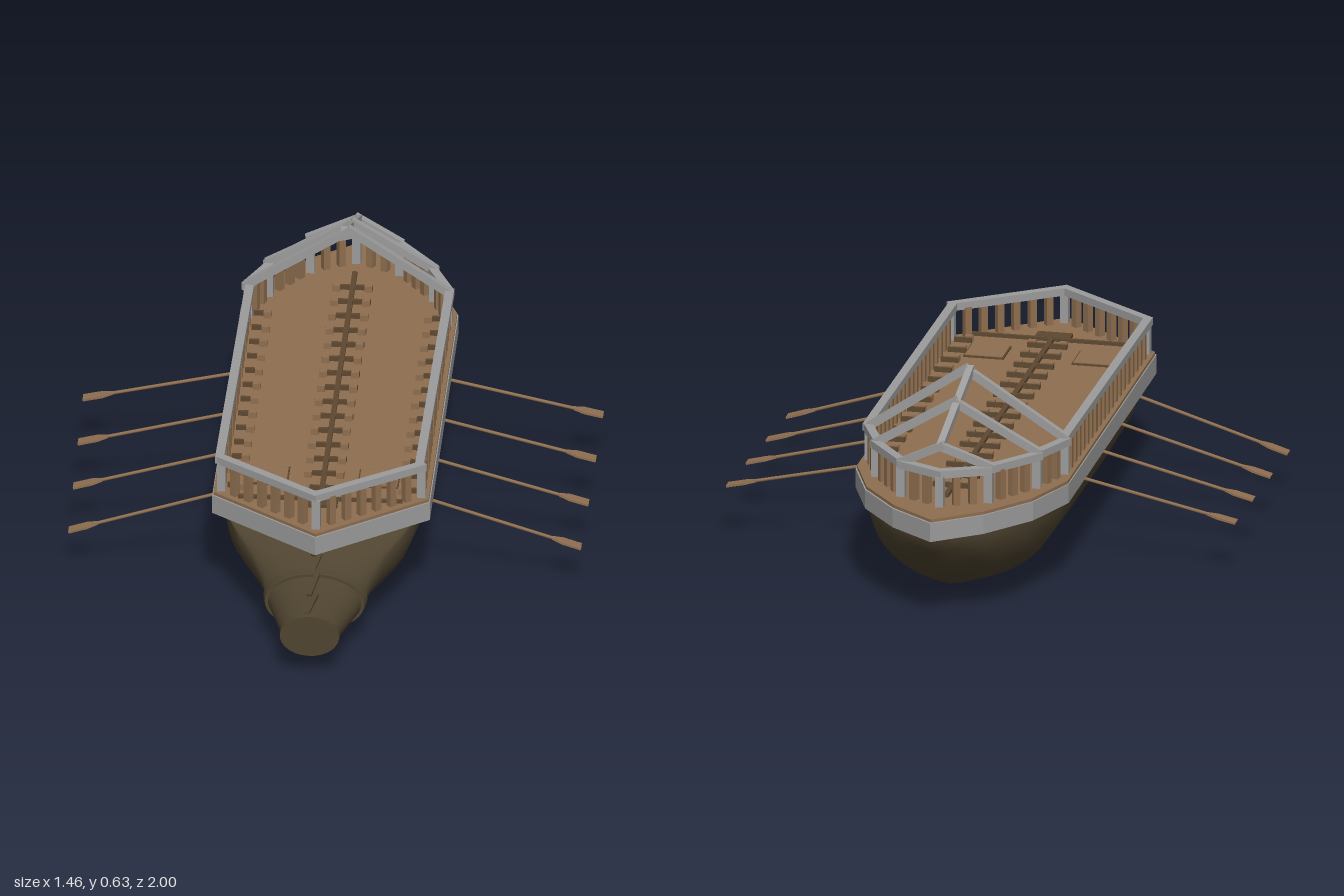
import * as THREE from 'three';
import { toCreasedNormals } from 'three/addons/utils/BufferGeometryUtils.js';

const paint = (name, color) => Object.assign(new THREE.MeshStandardMaterial({ color }), { name });
const hullWood = paint('dark hull wood', 0x4f4430);
const deckWood = paint('deck wood', 0x8f6f50);
const fittingWood = paint('fitting wood', 0x5e4931);
const metal = paint('grey trim', 0x9c9c9c);

// Half outlines [x, z] from stern tip to bow tip
const deckHalf = [[0, -1], [0.13, -0.9], [0.24, -0.76], [0.305, -0.59], [0.305, 0.54], [0, 0.775]];
const railHalf = [[0, -0.875], [0.125, -0.81], [0.23, -0.66], [0.28, -0.525], [0.28, 0.52], [0, 0.73]];
const mirrored = half => [...half, ...half.slice(1, -1).reverse().map(([x, z]) => [-x, z])];

function add(parent, name, geometry, material, x = 0, y = 0, z = 0) {
  const mesh = new THREE.Mesh(geometry, material);
  mesh.name = name;
  mesh.position.set(x, y, z);
  parent.add(mesh);
  return mesh;
}

function addGroup(parent, name) {
  const group = new THREE.Group();
  group.name = name;
  parent.add(group);
  return group;
}

// Flat slab with the given plan outline
function slab(half, height) {
  const shape = new THREE.Shape(mirrored(half).map(([x, z]) => new THREE.Vector2(x, -z)));
  return new THREE.ExtrudeGeometry(shape, { depth: height, bevelEnabled: false }).rotateX(-Math.PI / 2);
}

// Square beam between two points
function beam(parent, name, a, b, w, h, material) {
  const from = new THREE.Vector3(...a), to = new THREE.Vector3(...b);
  const mesh = add(parent, name, new THREE.BoxGeometry(w, h, from.distanceTo(to) + w * 0.5), material);
  mesh.position.copy(from).add(to).multiplyScalar(0.5);
  mesh.lookAt(to);
  return mesh;
}

// Loft of closed sections [z, halfWidth, bottom, top, roundness]: 0 is an open hull, 1 an ellipse
function loft(sections, n = 40) {
  const pos = [], index = [];
  for (const [z, w, bottom, top, k] of sections) {
    for (let j = 0; j < n; j++) {
      const a = (j / n) * Math.PI * 2, c = Math.cos(a), s = Math.sin(a), x = Math.abs(c);
      const open = s >= 0 ? 1 : 1 + s + 0.12 * x * (1 - x);
      const v = open * (1 - k) + (0.5 + 0.5 * s) * k;
      pos.push(w * c, bottom + (top - bottom) * v, z);
    }
  }
  for (let i = 0; i < sections.length - 1; i++) {
    for (let j = 0; j < n; j++) {
      const a = i * n + j, b = i * n + (j + 1) % n;
      index.push(a, b, b + n, a, b + n, a + n);
    }
  }
  // End caps
  const last = (sections.length - 1) * n;
  for (let j = 1; j < n - 1; j++) {
    index.push(0, j + 1, j, last, last + j, last + j + 1);
  }
  const g = new THREE.BufferGeometry();
  g.setAttribute('position', new THREE.Float32BufferAttribute(pos, 3));
  g.setIndex(index);
  return toCreasedNormals(g, 0.7);
}

export function createModel() {
  const model = new THREE.Group();
  model.name = 'galley';
  model.rotation.y = 0.01;

  // Hull and ram
  add(model, 'hull', loft([
    [-0.945, 0.03, 0.25, 0.275, 0], [-0.91, 0.105, 0.2, 0.275, 0], [-0.85, 0.165, 0.13, 0.275, 0],
    [-0.75, 0.228, 0.055, 0.275, 0], [-0.59, 0.28, 0.01, 0.275, 0], [-0.3, 0.284, 0.003, 0.275, 0],
    [0.1, 0.284, 0, 0.275, 0], [0.45, 0.28, 0.003, 0.275, 0], [0.56, 0.262, 0.01, 0.275, 0.05],
    [0.62, 0.225, 0.017, 0.268, 0.25], [0.67, 0.185, 0.024, 0.255, 0.5], [0.72, 0.153, 0.031, 0.232, 0.8],
    [0.78, 0.135, 0.04, 0.207, 1], [0.88, 0.105, 0.052, 0.188, 1], [0.99, 0.075, 0.065, 0.18, 1],
  ]), hullWood);
  add(model, 'ramBaseCollar', loft([
    [0.765, 0.146, 0.033, 0.217, 1], [0.795, 0.14, 0.036, 0.212, 1]]), hullWood);
  add(model, 'ramTipCollar', loft([
    [0.98, 0.085, 0.06, 0.187, 1], [1, 0.083, 0.062, 0.185, 1]]), hullWood);
  const ridge = [[0.62, 0.268], [0.67, 0.255], [0.72, 0.232], [0.78, 0.209], [0.88, 0.19], [0.98, 0.183]];
  for (let i = 0; i < ridge.length - 1; i++) {
    const [z0, y0] = ridge[i], [z1, y1] = ridge[i + 1];
    beam(model, 'ramRidge', [0, y0, z0], [0, y1, z1], 0.014, 0.012, hullWood);
  }

  // Gunwale band and deck
  add(model, 'gunwaleBand', slab(deckHalf, 0.055), metal, 0, 0.262, 0);
  const deckEdge = deckHalf.map(([x, z]) => [x * 0.99, z * 0.992]);
  add(model, 'deck', slab(deckEdge, 0.01), deckWood, 0, 0.316, 0);
  const deckY = 0.326;

  // Railing: top rail, corner posts and balusters
  const railing = addGroup(model, 'railing');
  const loop = mirrored(railHalf);
  const baluster = new THREE.BoxGeometry(0.02, 0.09, 0.02);
  const cornerPost = new THREE.BoxGeometry(0.024, 0.09, 0.024);
  loop.forEach(([x0, z0], i) => {
    const [x1, z1] = loop[(i + 1) % loop.length];
    beam(railing, 'topRail', [x0, 0.421, z0], [x1, 0.421, z1], 0.025, 0.022, metal);
    add(railing, 'cornerPost', cornerPost, metal, x0, deckY + 0.044, z0);
    const count = Math.max(2, Math.round(Math.hypot(x1 - x0, z1 - z0) / 0.051));
    for (let j = 1; j < count; j++) {
      const t = j / count;
      const post = add(railing, 'baluster', baluster, deckWood,
        x0 + (x1 - x0) * t, deckY + 0.044, z0 + (z1 - z0) * t);
      post.rotation.y = Math.atan2(x1 - x0, z1 - z0);
    }
  });

  // Stern canopy frame: three gables and a ridge beam
  const canopy = addGroup(model, 'canopyFrame');
  const gables = [[0.28, -0.525, 0.612, -0.52], [0.232, -0.66, 0.562, -0.66], [0.13, -0.81, 0.487, -0.828]];
  for (const [w, z, peak, peakZ] of gables) {
    for (const side of [-1, 1]) {
      beam(canopy, 'rafter', [side * w, 0.428, z], [0, peak, peakZ], 0.02, 0.022, metal);
    }
  }
  beam(canopy, 'ridgeBeam', [0, 0.612, -0.52], [0, 0.487, -0.828], 0.02, 0.022, metal);

  // Deck fittings: centre plank, rowing brackets, hatches and bow step
  const fittings = addGroup(model, 'deckFittings');
  add(fittings, 'centrePlank', new THREE.BoxGeometry(0.014, 0.012, 1.36), fittingWood, 0, deckY + 0.004, -0.12);
  add(fittings, 'bowBeam', new THREE.BoxGeometry(0.46, 0.012, 0.01), fittingWood, 0, deckY + 0.004, 0.565);
  add(fittings, 'bowStep', new THREE.BoxGeometry(0.1, 0.012, 0.04), fittingWood, 0, deckY + 0.004, 0.592);
  const bracket = new THREE.BoxGeometry(0.05, 0.016, 0.008);
  const seat = new THREE.BoxGeometry(0.022, 0.02, 0.016);
  for (let i = 0; i < 15; i++) {
    const z = -0.71 + i * 0.0865;
    for (const side of [-1, 1]) {
      add(fittings, 'innerBracket', bracket, fittingWood, side * 0.032, deckY + 0.006, z);
      add(fittings, 'innerSeat', seat, deckWood, side * 0.045, deckY + 0.008, z + 0.01);
      if (z < -0.56) continue;
      add(fittings, 'outerBracket', bracket, fittingWood, side * 0.24, deckY + 0.006, z);
      add(fittings, 'outerSeat', seat, deckWood, side * 0.225, deckY + 0.008, z + 0.01);
    }
  }
  for (const side of [-1, 1]) {
    add(fittings, 'hatchFrame', new THREE.BoxGeometry(0.115, 0.006, 0.105), fittingWood, side * 0.155, deckY + 0.002, 0.43);
    add(fittings, 'hatchLid', new THREE.BoxGeometry(0.107, 0.008, 0.097), deckWood, side * 0.155, deckY + 0.003, 0.43);
  }

  // Oars: four on each side
  const bladeShape = new THREE.Shape([[0, -0.006], [0.03, -0.017], [0.085, -0.017], [0.085, 0.017],
    [0.03, 0.017], [0, 0.006]].map(p => new THREE.Vector2(...p)));
  const blade = new THREE.ExtrudeGeometry(bladeShape, { depth: 0.006, bevelEnabled: false })
    .translate(0, 0, -0.003).rotateX(-Math.PI / 2);
  const length = 0.4;
  const shaft = new THREE.CylinderGeometry(0.005, 0.005, length, 8).rotateZ(Math.PI / 2).translate(length / 2, 0, 0);
  for (let i = 0; i < 4; i++) {
    const z = 0.383 - i * 0.24, drop = 0.145 - i * 0.0145;
    for (const side of [-1, 1]) {
      const oar = addGroup(model, side > 0 ? 'leftOar' : 'rightOar');
      oar.position.set(side * 0.26, 0.255, z);
      oar.rotation.y = side > 0 ? 0 : Math.PI;
      const tilt = addGroup(oar, 'oarTilt');
      tilt.rotation.z = -Math.atan2(drop, 0.46);
      add(tilt, 'oarShaft', shaft, deckWood);
      add(tilt, 'oarBlade', blade, deckWood, length - 0.005, 0, 0);
    }
  }
  return model;
}
